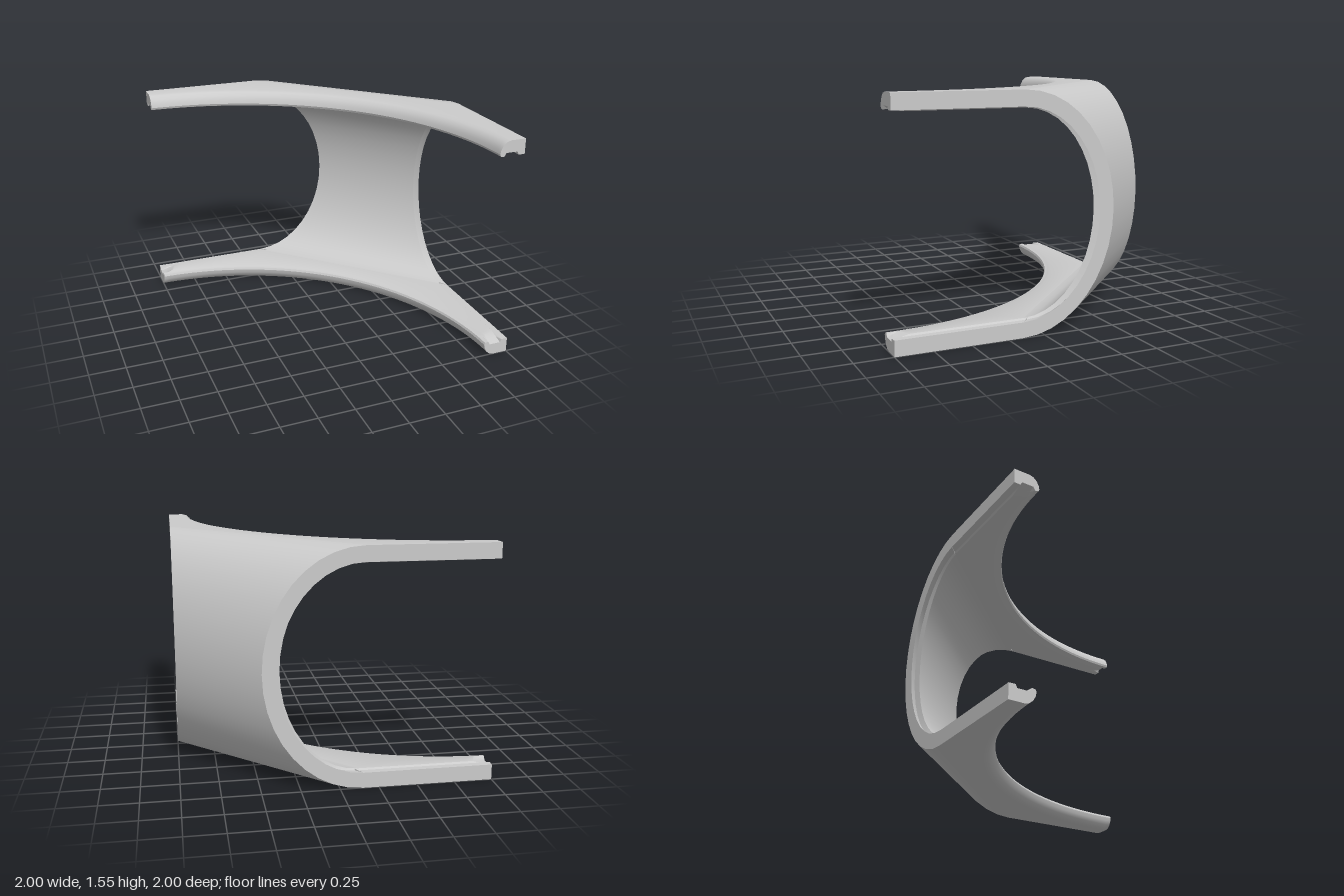
import * as THREE from 'three';
import { toCreasedNormals } from 'three/addons/utils/BufferGeometryUtils.js';

const H = 1.55, MID = H / 2;
const RIM_Y = 1.448, INNER_Y = 1.438, NOTCH_Y = 1.47; // underside heights of the upper plate
const EDGE = 1, RIM = 0.955, PANEL = 0.945; // side planes: edge, rim, raised inner panel
const BEND = 0.85; // x - z where the plates meet the curved wall
const RADIUS = 1.82; // swept front edge, an arc about (-1, 1) in plan

const material = new THREE.MeshStandardMaterial({ color: 0xcccccc });
const lerp = THREE.MathUtils.lerp;
const v2 = (x, z) => new THREE.Vector2(x, z);
const v3 = (p, y) => new THREE.Vector3(p.x, y, p.y);
const mirror = (p) => v2(-p.y, -p.x); // across the diagonal, in plan (x, z)

// Closed loops of points joined into a solid, faces turned outward
function loft(sections, caps) {
  const tris = [];
  const n = sections[0].length;
  for (let i = 0; i < sections.length - 1; i++) {
    for (let j = 0; j < n; j++) {
      const k = (j + 1) % n;
      const a = sections[i][j], b = sections[i + 1][j];
      const c = sections[i][k], d = sections[i + 1][k];
      tris.push([a, b, c], [c, b, d]);
    }
  }
  if (caps) {
    [sections[0], sections[sections.length - 1]].forEach((s, end) => {
      const flat = s.map((p) => v2(Math.hypot(p.x - s[0].x, p.z - s[0].z), p.y));
      const area = THREE.ShapeUtils.area(flat);
      for (const f of THREE.ShapeUtils.triangulateShape(flat, [])) {
        const same = THREE.ShapeUtils.area(f.map((i) => flat[i])) * area > 0;
        const t = f.map((i) => s[i]);
        tris.push(same === (end === 0) ? t : t.reverse());
      }
    });
  }
  const cross = new THREE.Vector3();
  const volume = tris.reduce((sum, [a, b, c]) => sum + a.dot(cross.crossVectors(b, c)), 0);
  if (volume < 0) tris.forEach((t) => t.reverse());
  const solid = tris.filter(([a, b, c]) =>
    cross.crossVectors(b.clone().sub(a), c.clone().sub(a)).length() > 1e-9);
  const geometry = new THREE.BufferGeometry().setFromPoints(solid.flat());
  return toCreasedNormals(geometry, 0.5);
}

// One cross-section of the upper plate, from the outer rim to the rounded front edge
function plateSection(t, [outer, rim, panel], rimY, innerY) {
  const angle = t * Math.PI / 2;
  const front = (d, y) => v3(v2(
    -1 + (RADIUS + d) * Math.sin(angle),
    1 - (RADIUS + d) * Math.cos(angle),
  ), y);
  return [
    v3(outer, H), v3(outer, rimY), v3(rim, rimY), v3(panel, innerY),
    front(0.045, innerY), front(0.03, 1.446), front(0.006, 1.45), front(0, 1.465),
    front(0.005, 1.49), front(0.02, 1.52), front(0.045, 1.542), front(0.075, H),
  ];
}

function plateSections() {
  const T = 0.207, LEG = 16, MIDDLE = 20;
  const corner = v2(BEND - RIM, -RIM); // inner end of the rim at the bend
  const legSection = (i, flip) => {
    const k = i / LEG;
    const points = [EDGE, RIM, PANEL].map((c) => v2(lerp(-1, BEND - c, k), -c));
    // A notch at the tip fades out along the leg
    const innerY = lerp(NOTCH_Y, INNER_Y, Math.min(1, k * 8));
    return plateSection(flip ? 1 - T * k : T * k, flip ? points.map(mirror) : points, RIM_Y, innerY);
  };
  const sections = [];
  for (let i = 0; i <= LEG; i++) sections.push(legSection(i, false));
  for (let i = 0; i <= MIDDLE; i++) {
    const k = i / MIDDLE;
    const o = corner.clone().lerp(mirror(corner), k);
    sections.push(plateSection(lerp(T, 1 - T, k), [o, o, o], INNER_Y, INNER_Y));
  }
  for (let i = LEG; i >= 0; i--) sections.push(legSection(i, true));
  return sections;
}

// Half-elliptical wall, cut off by the two side planes, with a low rim along each cut
function wallSections() {
  const STEPS = 20;
  return Array.from({ length: STEPS + 1 }, (_, i) => {
    const angle = Math.PI * (0.5 - i / STEPS);
    const at = (plane, start, a, b, flip) => {
      const p = v2(plane, plane - start - a * Math.cos(angle));
      return v3(flip ? mirror(p) : p, MID + b * Math.sin(angle));
    };
    const side = (flip) => [
      at(EDGE, BEND, 0.64, MID, flip),
      at(EDGE, BEND, 0.54, RIM_Y - MID, flip),
      at(RIM, BEND, 0.54, RIM_Y - MID, flip),
      at(PANEL, BEND - 0.03, 0.5, INNER_Y - MID, flip),
    ];
    return [...side(false), ...side(true).reverse()];
  });
}

export function createModel() {
  const group = new THREE.Group();
  group.name = 'curvedBracket';
  const add = (name, sections, caps) => {
    const mesh = new THREE.Mesh(loft(sections, caps), material);
    mesh.name = name;
    group.add(mesh);
  };
  // Upper plate and its mirror image below
  const upper = plateSections();
  add('upperPlate', upper, true);
  add('lowerPlate', upper.map((s) => s.map((p) => new THREE.Vector3(p.x, H - p.y, p.z))), true);
  // Curved wall joining the plates
  add('curvedWall', wallSections(), false);
  return group;
}
